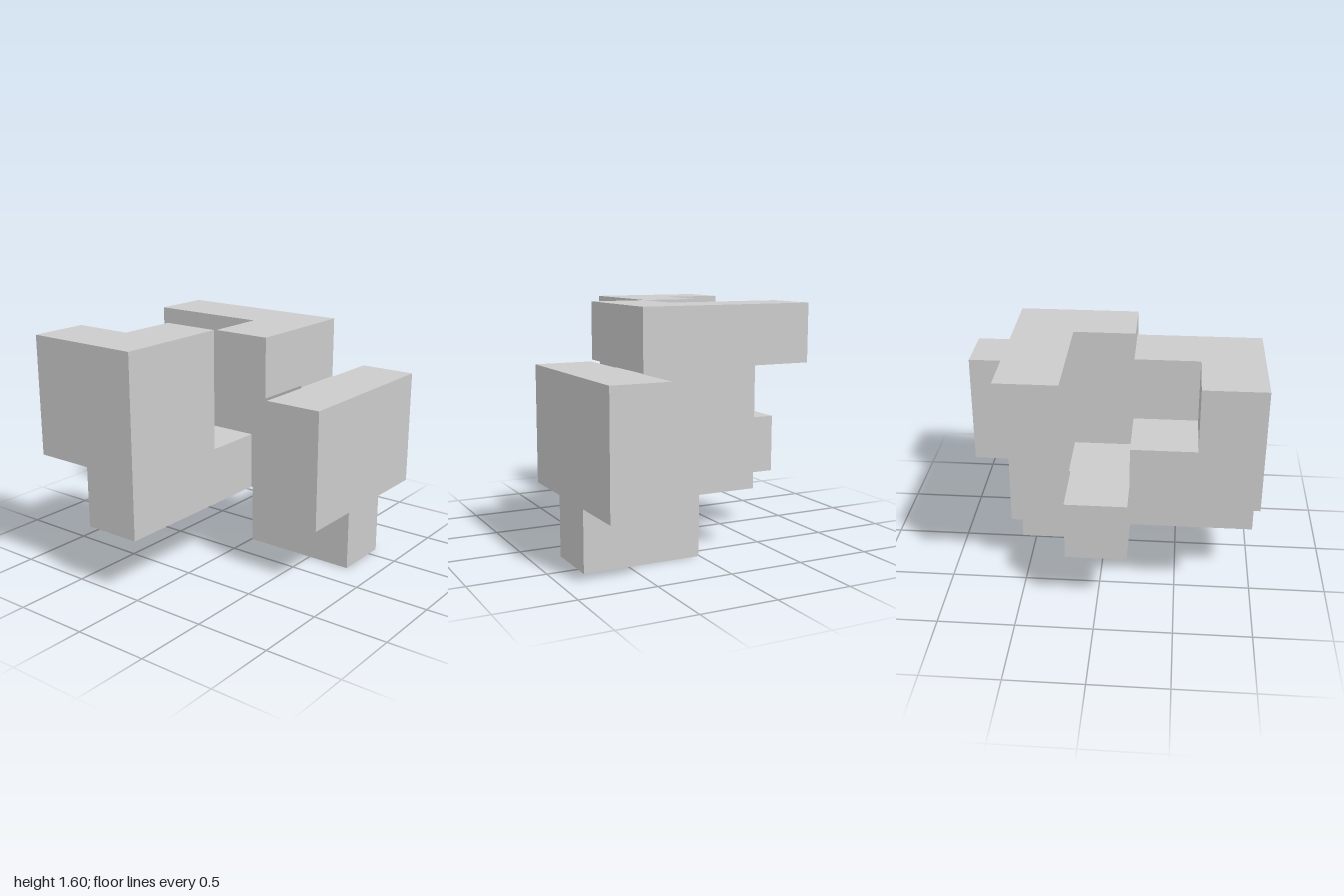
import * as THREE from 'three';

// Grid pitch, and the small inset every outer face has from its grid line
const E = 0.006;
const C = (2 + 2 * E) / 5;
const lo = (i) => i * C + E; // face on the low side of a cell
const hi = (i) => i * C - E; // face on the high side of a cell

export function createModel() {
  const group = new THREE.Group();
  const material = new THREE.MeshStandardMaterial({ color: 0xcccccc, flatShading: true });

  const add = (name, geometry) => {
    geometry.translate(-2 * C, -E, -2.5 * C);
    const mesh = new THREE.Mesh(geometry, material);
    mesh.name = name;
    group.add(mesh);
  };

  const block = (name, [x0, x1], [y0, y1], [z0, z1]) =>
    add(name, new THREE.BoxGeometry(x1 - x0, y1 - y0, z1 - z0)
      .translate((x0 + x1) / 2, (y0 + y1) / 2, (z0 + z1) / 2));

  const extrude = (points, depth) => new THREE.ExtrudeGeometry(
    new THREE.Shape(points.map(([a, b]) => new THREE.Vector2(a, b))),
    { depth, bevelEnabled: false });

  // Profile given as (z, y), extruded from x0 to x1
  const sideProfile = (name, points, x0, x1) =>
    add(name, extrude(points, x1 - x0).rotateY(-Math.PI / 2).translate(x1, 0, 0));

  // Stepped upright slab, profile given as (x, y)
  add('backPanel', extrude([
    [lo(2), lo(0)], [hi(4), lo(0)], [hi(4), hi(3)], [hi(3), hi(3)],
    [hi(3), hi(4)], [lo(0), hi(4)], [lo(0), lo(3)], [lo(1), lo(3)],
    [lo(1), lo(1)], [lo(2), lo(1)],
  ], hi(2) - lo(1)).translate(0, 0, lo(1)));

  // Blocks that stick out of the panel
  block('upperFrontArm', [lo(2), hi(3)], [lo(3), hi(4)], [hi(2), hi(3)]);
  block('leftFrontArm', [lo(3), hi(4)], [lo(1), hi(3)], [hi(2), hi(3)]);
  block('leftBackArm', [lo(3), hi(4)], [lo(1), hi(3)], [lo(0), lo(1)]);

  // Front wall, reaching back to the panel along its foot
  sideProfile('frontWall', [
    [hi(2), lo(1)], [hi(5), lo(1)], [hi(5), hi(4)],
    [lo(3), hi(4)], [lo(3), hi(2)], [hi(2), hi(2)],
  ], lo(1), hi(2));

  // Pieces on the right of the front wall
  sideProfile('rightStep', [
    [lo(3), lo(2)], [hi(5), lo(2)], [hi(5), hi(4)],
    [lo(4), hi(4)], [lo(4), hi(3)], [lo(3), hi(3)],
  ], lo(0), lo(1));
  block('rightFoot', [lo(0), lo(1)], [lo(1), hi(2)], [lo(2), hi(3)]);

  return group;
}
